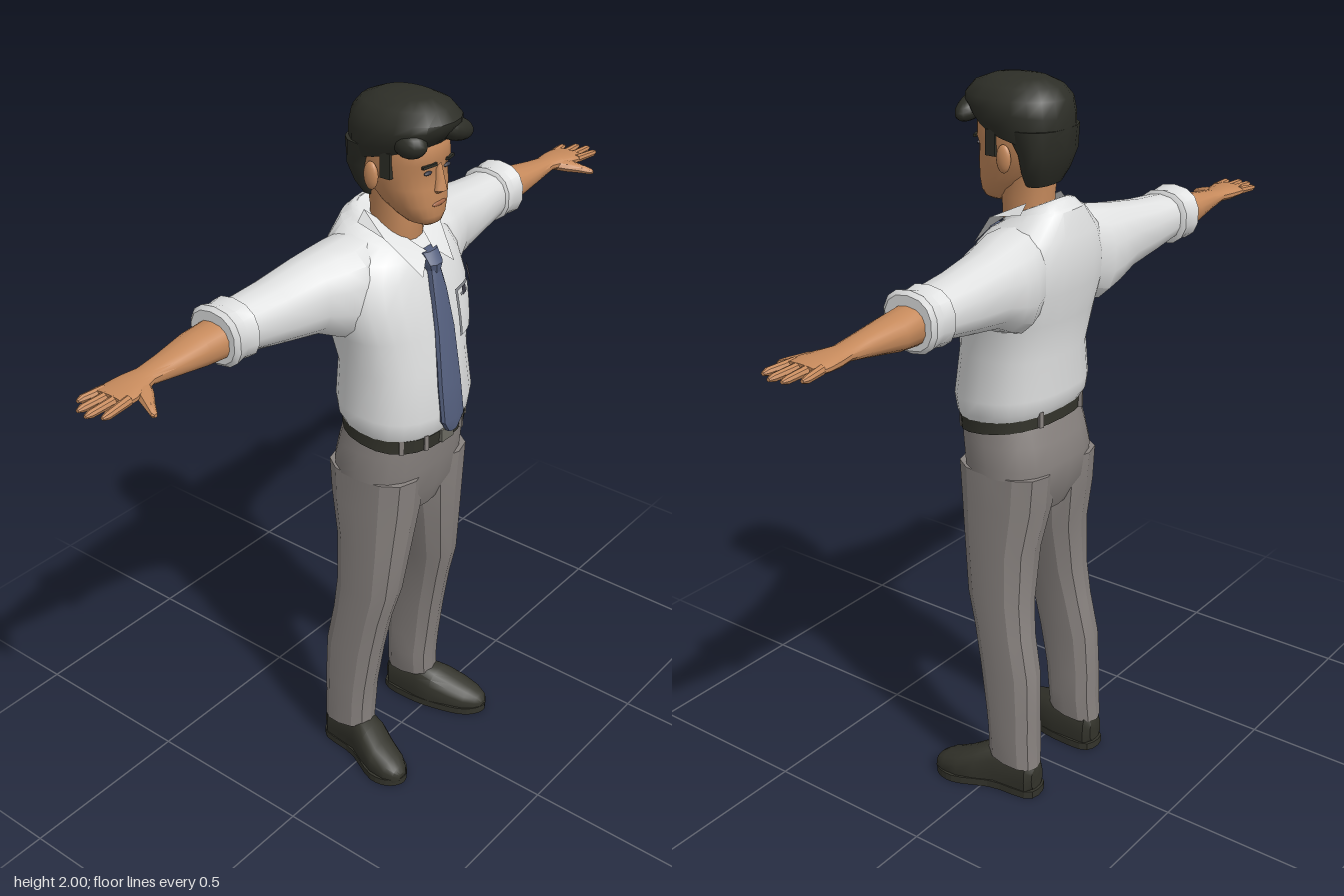
import * as THREE from 'three';
import { toCreasedNormals } from 'three/addons/utils/BufferGeometryUtils.js';

const material = (name, color, side = THREE.FrontSide) => {
  const m = new THREE.MeshStandardMaterial({ color, side });
  m.name = name;
  return m;
};

// Skin over superellipse sections [t, a0, a1, b0, b1, tilt] stacked along an axis.
// a, b are x, z for axis y; y, z for axis x; x, y for axis z.
function loft(axis, rows, { n = 16, p = 0.85, crease = 0.6, floor = -1 } = {}) {
  const pos = [], idx = [];
  const put = (t, a, b) => {
    const v = axis === 'y' ? [a, t, b] : axis === 'x' ? [t, a, b] : [a, b, t];
    pos.push(v[0], Math.max(v[1], floor), v[2]);
  };
  const bend = (v) => Math.sign(v) * Math.abs(v) ** p;
  for (const [t, a0, a1, b0, b1, tilt = 0] of rows) {
    for (let i = 0; i < n; i++) {
      const w = (i / n) * Math.PI * 2;
      const a = (a0 + a1) / 2 + ((a1 - a0) / 2) * bend(Math.cos(w));
      const b = (b0 + b1) / 2 + ((b1 - b0) / 2) * bend(Math.sin(w));
      put(t + tilt * b, a, b);
    }
  }
  for (let r = 0; r < rows.length - 1; r++) {
    for (let i = 0; i < n; i++) {
      const a = r * n + i, b = r * n + ((i + 1) % n);
      idx.push(a, b, a + n, b, b + n, a + n);
    }
  }
  [0, rows.length - 1].forEach((r) => {
    const [t, a0, a1, b0, b1, tilt = 0] = rows[r], c = pos.length / 3, bm = (b0 + b1) / 2;
    put(t + tilt * bm, (a0 + a1) / 2, bm);
    for (let i = 0; i < n; i++) {
      const a = r * n + i, b = r * n + ((i + 1) % n);
      if (r) idx.push(c, a, b); else idx.push(c, b, a);
    }
  });
  // Turn all faces outward
  const P = (i) => new THREE.Vector3().fromArray(pos, i * 3);
  let volume = 0;
  for (let i = 0; i < idx.length; i += 3) volume += P(idx[i]).dot(P(idx[i + 1]).cross(P(idx[i + 2])));
  if (volume < 0) idx.reverse();
  const g = new THREE.BufferGeometry();
  g.setAttribute('position', new THREE.Float32BufferAttribute(pos, 3));
  g.setIndex(idx);
  return toCreasedNormals(g, crease);
}

// Sections symmetric in x: [y, halfWidth, back, front, tilt]
const body = (rows, opt) => loft('y', rows.map(([y, w, ...r]) => [y, -w, w, ...r]), opt);

function mirrored(geo) {
  const g = geo.index ? geo.toNonIndexed() : geo.clone();
  g.scale(-1, 1, 1);
  for (const at of Object.values(g.attributes)) {
    const s = at.itemSize;
    for (let i = 0; i < at.count; i += 3) for (let k = 0; k < s; k++) {
      const j = (i + 1) * s + k, t = at.array[j];
      at.array[j] = at.array[j + s];
      at.array[j + s] = t;
    }
  }
  return g;
}

const ball = (x, y, z, sx, sy, sz) => new THREE.SphereGeometry(1, 16, 10).scale(sx, sy, sz).translate(x, y, z);

const TORSO = [
  [1.12, 0.178, -0.125, 0.14, -0.15], [1.145, 0.19, -0.14, 0.155, -0.15], [1.185, 0.194, -0.145, 0.163, -0.1],
  [1.3, 0.181, -0.14, 0.148], [1.4, 0.202, -0.156, 0.136], [1.48, 0.22, -0.172, 0.12],
  [1.55, 0.208, -0.177, 0.1], [1.6, 0.178, -0.17, 0.083, -0.1], [1.635, 0.12, -0.15, 0.066, -0.3],
  [1.648, 0.082, -0.115, 0.055, -0.5],
];
const TP = 0.85;

// Front depth of the shirt at (x, y)
function shirtFront(x, y) {
  let i = 0;
  while (i < TORSO.length - 2 && TORSO[i + 1][0] < y) i++;
  const A = TORSO[i], B = TORSO[i + 1], f = (y - A[0]) / (B[0] - A[0]);
  const [w, b, c] = [1, 2, 3].map((k) => A[k] + (B[k] - A[k]) * f);
  return (b + c) / 2 + ((c - b) / 2) * Math.max(0, 1 - Math.abs(x / w) ** (2 / TP)) ** (TP / 2);
}

// Thin plate laid on the shirt front
function patch(x, y, w, h, lift) {
  const g = new THREE.PlaneGeometry(w, h, 4, 4).translate(x, y, 0), q = g.attributes.position;
  for (let i = 0; i < q.count; i++) q.setZ(i, shirtFront(q.getX(i), q.getY(i)) + lift);
  g.computeVertexNormals();
  return g;
}

export function createModel() {
  const skin = material('skin', 0xc68a5c), hair = material('hair', 0x2d2e27);
  const shirt = material('shirt', 0xe0e1e1, THREE.DoubleSide), tie = material('tie', 0x55607f);
  const cloth = material('trousers', 0x88827f), leather = material('leather', 0x33332b);
  const line = material('seam line', 0x85878c), lip = material('lips', 0xa86a4a);
  const metal = material('buckle', 0x6b6a62), dark = material('pen and eye', 0x3a3a44);

  const model = new THREE.Group();
  model.name = 'standingMan';
  const add = (name, geo, mat) => {
    const m = new THREE.Mesh(geo, mat);
    m.name = name;
    model.add(m);
  };
  const pair = (name, geo, mat) => {
    add(name + 'Left', geo, mat);
    add(name + 'Right', mirrored(geo), mat);
  };

  // Shirt
  add('shirtTorso', body(TORSO, { n: 24, p: TP }), shirt);
  pair('sleeve', loft('x', [[0.06, 1.42, 1.655, -0.14, 0.02], [0.17, 1.385, 1.645, -0.172, 0.045],
    [0.22, 1.405, 1.637, -0.174, 0.03], [0.28, 1.435, 1.627, -0.172, 0.005], [0.4, 1.455, 1.61, -0.168, -0.015],
    [0.52, 1.478, 1.6, -0.165, -0.03]], { n: 14 }), shirt);
  pair('cuff', loft('x', [[0.5, 1.475, 1.6, -0.168, -0.03], [0.507, 1.462, 1.612, -0.18, -0.02],
    [0.54, 1.468, 1.606, -0.175, -0.025], [0.572, 1.462, 1.615, -0.18, -0.018], [0.582, 1.472, 1.605, -0.17, -0.03]], { n: 14 }), shirt);
  const flap = new THREE.BufferGeometry();
  flap.setAttribute('position', new THREE.Float32BufferAttribute([0.074, 1.698, -0.06, 0.012, 1.605, 0.09,
    0.064, 1.56, 0.118, 0.108, 1.655, 0.03, 0.1, 1.672, -0.06], 3));
  flap.setIndex([0, 1, 3, 1, 2, 3, 0, 3, 4]);
  pair('collarFlap', toCreasedNormals(flap, 0.9), shirt);
  add('collarBack', body([[1.625, 0.108, -0.145, 0.03, -0.4], [1.645, 0.092, -0.127, 0.04, -0.45],
    [1.655, 0.078, -0.112, 0.045, -0.45]], { n: 20 }), shirt);

  // Chest pocket with pens
  add('pocketSeam', patch(0.105, 1.415, 0.078, 0.128, 0.005), line);
  add('pocket', patch(0.105, 1.415, 0.07, 0.12, 0.009), shirt);
  add('pocketFlap', patch(0.1, 1.462, 0.04, 0.008, 0.012), line);
  add('pen', patch(0.15, 1.49, 0.02, 0.045, 0.014), dark);
  add('penClip', patch(0.1, 1.468, 0.022, 0.022, 0.013), dark);

  // Tie
  add('tieBlade', body([[1.115, 0.018, 0.155, 0.176], [1.15, 0.044, 0.155, 0.18], [1.25, 0.043, 0.14, 0.169],
    [1.4, 0.035, 0.125, 0.15], [1.5, 0.028, 0.1, 0.13], [1.565, 0.019, 0.08, 0.114]], { n: 12, p: 0.6 }), tie);
  add('tieKnot', body([[1.55, 0.018, 0.07, 0.118], [1.575, 0.03, 0.06, 0.122], [1.605, 0.034, 0.05, 0.1]], { n: 10 }), tie);

  // Trousers and belt
  add('trouserHips', body([[0.85, 0.1, -0.11, 0.09], [0.92, 0.184, -0.142, 0.117], [1.0, 0.187, -0.152, 0.128],
    [1.06, 0.182, -0.138, 0.136], [1.11, 0.174, -0.118, 0.138, -0.15]], { n: 20, p: 0.8 }), cloth);
  pair('trouserLeg', loft('y', [[0.98, 0.005, 0.186, -0.148, 0.125], [0.88, 0.002, 0.19, -0.14, 0.116],
    [0.75, 0.028, 0.193, -0.115, 0.1], [0.6, 0.058, 0.195, -0.112, 0.083], [0.5, 0.075, 0.197, -0.122, 0.056],
    [0.38, 0.083, 0.201, -0.146, 0.033], [0.25, 0.09, 0.204, -0.15, 0.012], [0.18, 0.087, 0.206, -0.15, 0.004],
    [0.11, 0.096, 0.205, -0.154, 0.002, 0.12]], { n: 12, crease: 0.4 }), cloth);
  add('belt', body([[1.094, 0.182, -0.128, 0.146, -0.15], [1.134, 0.182, -0.128, 0.15, -0.15]], { n: 24 }), leather);
  add('buckle', new THREE.BoxGeometry(0.05, 0.036, 0.01).translate(0, 1.096, 0.15), metal);
  [[0.075, 1.097, 0.138, 0.35], [0.135, 1.1, 0.105, 0.8], [0.09, 1.135, -0.117, -0.4]].forEach(([x, y, z, r], i) =>
    pair('beltLoop' + i, new THREE.BoxGeometry(0.012, 0.044, 0.016).rotateY(r).translate(x, y, z), cloth));

  // Shoes
  pair('shoe', loft('z', [[-0.152, 0.12, 0.175, 0.02, 0.09], [-0.135, 0.104, 0.19, -0.02, 0.12],
    [-0.03, 0.1, 0.2, -0.03, 0.13], [0.02, 0.105, 0.225, -0.03, 0.113], [0.07, 0.125, 0.243, -0.03, 0.086],
    [0.12, 0.145, 0.243, -0.03, 0.068], [0.148, 0.168, 0.232, -0.01, 0.052], [0.16, 0.185, 0.215, 0, 0.035]],
  { p: 0.75, floor: 0.012 }), leather);
  const outline = [[0.11, -0.15], [0.18, -0.153], [0.203, -0.03], [0.25, 0.08], [0.24, 0.135], [0.2, 0.164],
    [0.15, 0.135], [0.115, 0.05], [0.098, -0.05]].map(([x, z]) => new THREE.Vector3(x, -z, 0));
  const sole = new THREE.Shape(new THREE.CatmullRomCurve3(outline, true).getPoints(30).map((v) => new THREE.Vector2(v.x, v.y)));
  pair('sole', new THREE.ExtrudeGeometry(sole, { depth: 0.022, bevelEnabled: false }).rotateX(-Math.PI / 2), leather);

  // Forearms and hands
  pair('forearm', loft('x', [[0.55, 1.483, 1.583, -0.152, -0.045], [0.64, 1.49, 1.573, -0.152, -0.05],
    [0.74, 1.506, 1.558, -0.136, -0.06], [0.8, 1.515, 1.55, -0.13, -0.066], [0.84, 1.513, 1.55, -0.138, -0.052],
    [0.88, 1.516, 1.547, -0.143, -0.038], [0.918, 1.52, 1.543, -0.138, -0.036]], { n: 14 }), skin);
  [[-0.127, -0.137, 0.965], [-0.102, -0.106, 0.993], [-0.076, -0.074, 1], [-0.05, -0.04, 0.982]].forEach(([z0, z1, tip], i) =>
    pair('finger' + i, loft('x', [[0.895, 1.52, 1.544, z0 - 0.013, z0 + 0.013],
      [tip - 0.015, 1.52, 1.54, z1 - 0.01, z1 + 0.01], [tip, 1.525, 1.534, z1 - 0.005, z1 + 0.005]], { n: 8, p: 1 }), skin));
  pair('thumb', loft('z', [[-0.08, 0.805, 0.86, 1.512, 1.545], [-0.045, 0.825, 0.873, 1.508, 1.54],
    [-0.01, 0.855, 0.884, 1.505, 1.528], [0.01, 0.87, 0.89, 1.503, 1.52], [0.017, 0.876, 0.886, 1.506, 1.515]], { n: 8, p: 1 }), skin);

  // Neck and head
  add('neck', body([[1.56, 0.06, -0.08, 0.04], [1.64, 0.064, -0.08, 0.05], [1.7, 0.062, -0.08, 0.055],
    [1.76, 0.068, -0.085, 0.05]]), skin);
  add('head', body([[1.678, 0.024, 0.05, 0.1], [1.686, 0.04, 0.025, 0.113], [1.705, 0.058, 0, 0.118],
    [1.735, 0.075, -0.04, 0.119], [1.78, 0.09, -0.085, 0.118], [1.825, 0.097, -0.105, 0.113], [1.845, 0.099, -0.11, 0.122],
    [1.885, 0.1, -0.11, 0.12], [1.93, 0.098, -0.105, 0.1], [1.965, 0.07, -0.08, 0.07]], { n: 24, crease: 0.9 }), skin);
  add('nose', body([[1.764, 0.016, 0.09, 0.122], [1.773, 0.021, 0.09, 0.137], [1.8, 0.013, 0.09, 0.131],
    [1.84, 0.009, 0.09, 0.121]], { n: 10, p: 1, crease: 0.9 }), skin);
  pair('ear', ball(0.104, 1.808, -0.012, 0.012, 0.036, 0.021), skin);
  pair('eye', ball(0.038, 1.822, 0.11, 0.014, 0.005, 0.006), dark);
  pair('eyebrow', new THREE.BoxGeometry(0.042, 0.007, 0.008).rotateZ(-0.08).rotateY(0.3).translate(0.041, 1.843, 0.117), hair);
  add('lips', ball(0, 1.737, 0.116, 0.027, 0.007, 0.006), lip);

  // Hair: crown, nape, sideburns and swept fringe
  add('hairCrown', body([[1.858, 0.104, -0.126, 0.115, 0.25], [1.885, 0.113, -0.132, 0.14, 0.2], [1.92, 0.117, -0.133, 0.156, 0.1],
    [1.95, 0.11, -0.125, 0.158], [1.977, 0.088, -0.102, 0.135], [1.994, 0.056, -0.06, 0.09], [2, 0.02, -0.02, 0.05]],
  { n: 20, p: 0.9, crease: 0.7 }), hair);
  add('hairNape', body([[1.735, 0.062, -0.09, -0.03], [1.77, 0.084, -0.108, -0.025], [1.82, 0.101, -0.125, -0.02],
    [1.88, 0.108, -0.132, 0.03]], { crease: 0.7 }), hair);
  pair('sideburn', new THREE.BoxGeometry(0.014, 0.065, 0.03).translate(0.097, 1.842, 0.03), hair);
  add('fringe', ball(0, 0, 0, 0.068, 0.03, 0.034).rotateZ(-0.35).translate(0.045, 1.915, 0.125), hair);
  add('fringeSide', ball(-0.075, 1.9, 0.085, 0.036, 0.034, 0.045), hair);

  return model;
}
